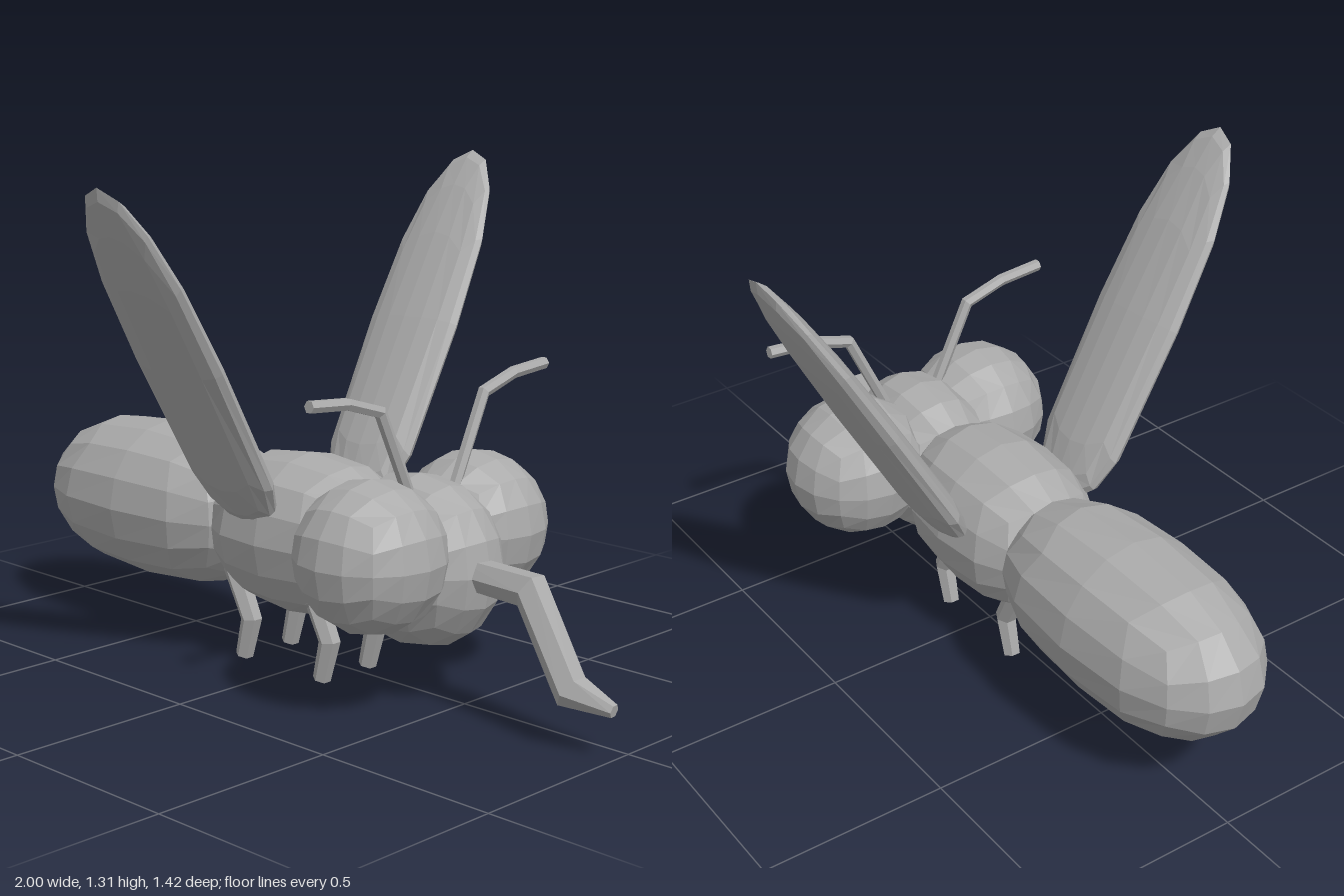
import * as THREE from 'three';

const V = (x, y, z) => new THREE.Vector3(x, y, z);

// Faceted ball from a 4x4x4 box; powers below 1 make the -x and +x ends blunter
function blobGeometry(rx, ry, rz, backPower = 1, frontPower = 1, taper = 0) {
  const geo = new THREE.BoxGeometry(2, 2, 2, 4, 4, 4);
  const pos = geo.attributes.position;
  const bend = (c) => Math.tan((c * Math.PI) / 4);
  for (let i = 0; i < pos.count; i++) {
    const p = V(bend(pos.getX(i)), bend(pos.getY(i)), bend(pos.getZ(i))).normalize();
    const power = p.x < 0 ? backPower : frontPower;
    const x = Math.sign(p.x) * Math.pow(Math.abs(p.x), power);
    pos.setXYZ(i, x * rx, p.y * ry, p.z * rz * (1 - taper * x));
  }
  return faceted(geo);
}

function faceted(geo) {
  const flat = geo.index ? geo.toNonIndexed() : geo;
  flat.computeVertexNormals();
  return flat;
}

// Mitred tube through points; ref is a vector square to the plane of the path
function limbGeometry(points, radii, ref, sides = 6) {
  const rings = points.map((p, i) => {
    const a = points[Math.max(i - 1, 0)], b = points[Math.min(i + 1, points.length - 1)];
    const before = p.clone().sub(a).normalize(), after = b.clone().sub(p).normalize();
    const t = before.clone().add(after).normalize();
    const miter = 1 / Math.max(0.6, t.dot(i ? before : after));
    const n1 = ref.clone().addScaledVector(t, -ref.dot(t)).normalize();
    const n2 = t.clone().cross(n1).multiplyScalar(miter);
    return Array.from({ length: sides }, (_, j) => {
      const ang = (j / sides) * Math.PI * 2;
      return p.clone()
        .addScaledVector(n1, Math.cos(ang) * radii[i])
        .addScaledVector(n2, Math.sin(ang) * radii[i]);
    });
  });
  const tris = [];
  const last = rings.length - 1;
  for (let j = 0; j < sides; j++) {
    const k = (j + 1) % sides;
    for (let i = 0; i < last; i++) {
      const a = rings[i][j], b = rings[i][k], c = rings[i + 1][k], d = rings[i + 1][j];
      tris.push(a, b, c, a, c, d);
    }
    tris.push(points[0], rings[0][k], rings[0][j]);
    tris.push(points[last], rings[last][j], rings[last][k]);
  }
  return faceted(new THREE.BufferGeometry().setFromPoints(tris));
}

export function createModel() {
  const model = new THREE.Group();
  model.name = 'fly';
  const grey = new THREE.MeshStandardMaterial({ color: 0xaaaaaa });
  grey.name = 'grey';

  const add = (name, geo, x = 0, y = 0, z = 0) => {
    const mesh = new THREE.Mesh(geo, grey);
    mesh.name = name;
    mesh.position.set(x, y, z);
    model.add(mesh);
    return mesh;
  };

  // Body
  add('abdomen', blobGeometry(0.425, 0.22, 0.22, 0.72, 0.72), -0.575, 0.357, 0.022);
  add('thorax', blobGeometry(0.3, 0.215, 0.205, 0.75, 0.75), -0.02, 0.355, 0.022);
  add('head', blobGeometry(0.235, 0.22, 0.172, 0.9, 0.9), 0.36, 0.355, 0.02);

  // Eyes
  add('leftEye', blobGeometry(0.192, 0.192, 0.192), 0.39, 0.405, 0.225);
  add('rightEye', blobGeometry(0.192, 0.192, 0.192), 0.345, 0.405, -0.205);

  // Wings: flattened blobs laid along the line from root to tip
  const addWing = (name, root, tip) => {
    const along = tip.clone().sub(root);
    const half = along.length() / 2;
    along.normalize();
    const wide = V(1, 0, 0).addScaledVector(along, -along.x).normalize();
    const thick = along.clone().cross(wide);
    const wing = add(name, blobGeometry(half, 0.152, 0.045, 0.35, 0.75, 0.2));
    wing.quaternion.setFromRotationMatrix(new THREE.Matrix4().makeBasis(along, wide, thick));
    wing.position.copy(root).add(tip).multiplyScalar(0.5);
  };
  addWing('leftWing', V(-0.085, 0.395, 0.165), V(-0.025, 1.295, 0.71));
  addWing('rightWing', V(-0.045, 0.395, -0.16), V(-0.11, 1.31, -0.712));

  // Proboscis
  add('proboscis', limbGeometry(
    [V(0.5, 0.355, 0.025), V(0.74, 0.355, 0.047), V(0.88, 0.145, 0.065), V(0.997, 0.122, 0.055)],
    [0.042, 0.044, 0.044, 0.017], V(0, 0, 1)));

  // Antennae
  for (const side of [1, -1]) {
    const path = [[0.06, 0.48], [0.19, 0.755], [0.305, 0.79], [0.43, 0.8]]
      .map(([z, y]) => V(0.39, y, 0.005 + side * z));
    add(side > 0 ? 'leftAntenna' : 'rightAntenna',
      limbGeometry(path, [0.016, 0.016, 0.016, 0.016], V(1, 0, 0)));
  }

  // Legs
  for (const [end, x] of [['front', 0.16], ['rear', -0.13]]) {
    for (const [side, z] of [['Left', 0.123], ['Right', -0.047]]) {
      const path = [V(x - 0.075, 0.25, z), V(x - 0.01, 0.115, z), V(x - 0.038, 0.01, z)];
      add(`${end}${side}Leg`, limbGeometry(path, [0.032, 0.028, 0.024], V(0, 0, 1)));
    }
  }

  return model;
}
